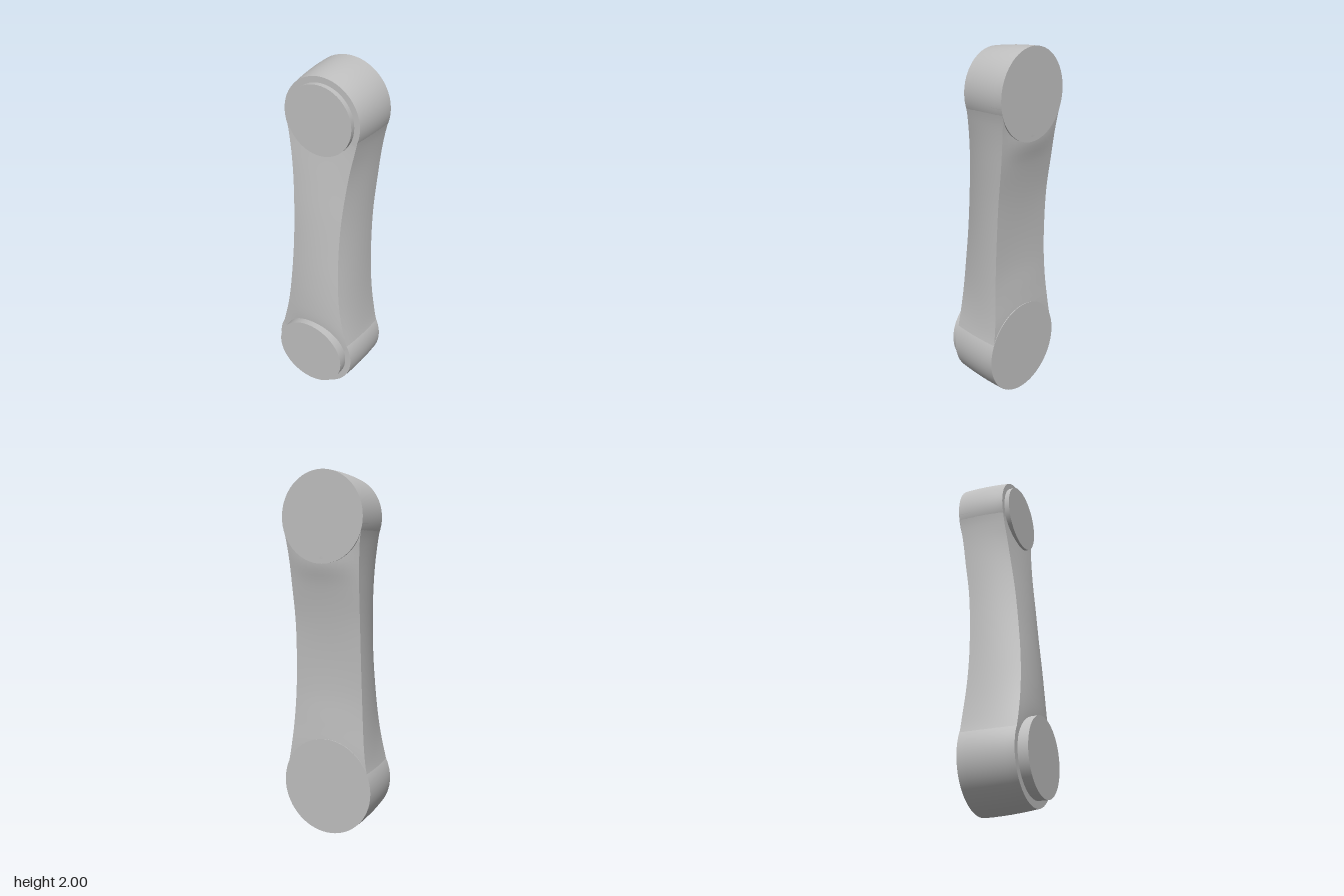
import * as THREE from 'three';
import { toCreasedNormals } from 'three/addons/utils/BufferGeometryUtils.js';

// Arm sections: y, half-width at back, half-width at front,
// z of front middle, front edge, back middle, back edge
const SECTIONS = [
  [0.30, 0.270, 0.245, 0.146, 0.146, -0.156, -0.156],
  [0.40, 0.245, 0.219, 0.158, 0.150, -0.156, -0.155],
  [0.50, 0.230, 0.194, 0.169, 0.151, -0.156, -0.150],
  [0.62, 0.218, 0.172, 0.169, 0.150, -0.148, -0.141],
  [0.80, 0.207, 0.154, 0.160, 0.143, -0.136, -0.134],
  [1.00, 0.201, 0.146, 0.144, 0.128, -0.137, -0.137],
  [1.20, 0.200, 0.149, 0.124, 0.111, -0.151, -0.148],
  [1.40, 0.206, 0.164, 0.099, 0.089, -0.180, -0.172],
  [1.52, 0.212, 0.179, 0.083, 0.077, -0.206, -0.185],
  [1.60, 0.219, 0.193, 0.073, 0.069, -0.206, -0.195],
  [1.66, 0.227, 0.204, 0.066, 0.065, -0.206, -0.203],
  [1.72, 0.240, 0.217, 0.064, 0.064, -0.206, -0.206],
];

export function createModel() {
  const group = new THREE.Group();
  const grey = new THREE.MeshStandardMaterial({ color: 0xc0c0c0 });
  grey.name = 'light grey';

  const add = (name, geometry, y = 0) => {
    const mesh = new THREE.Mesh(geometry, grey);
    mesh.name = name;
    mesh.position.y = y;
    group.add(mesh);
  };

  // Round joint: slightly tapering body, turned so its axis is z
  function joint(name, y, back, front, rBack, rFront) {
    const points = [new THREE.Vector2(0, back)];
    for (let i = 0; i <= 6; i++) {
      const t = i / 6;
      points.push(new THREE.Vector2(rBack - (rBack - rFront) * t * t, back + (front - back) * t));
    }
    points.push(new THREE.Vector2(0, front));
    const body = new THREE.LatheGeometry(points, 64).rotateX(Math.PI / 2);
    add(name, toCreasedNormals(body, 0.6), y);
  }

  // Raised round pad on the front of a joint
  function pad(name, y, back, front, radius) {
    const disc = new THREE.CylinderGeometry(radius, radius, front - back, 64).rotateX(Math.PI / 2);
    disc.translate(0, 0, (front + back) / 2);
    add(name, disc, y);
  }

  joint('lowerJoint', 0.274, -0.157, 0.149, 0.272, 0.25);
  pad('lowerPad', 0.277, 0.13, 0.205, 0.214);
  joint('upperJoint', 1.757, -0.207, 0.065, 0.243, 0.222);
  pad('upperPad', 1.757, 0.05, 0.093, 0.19);

  // Arm between the joints, lofted one face at a time to keep sharp edges
  const spline = new THREE.CubicInterpolant(
    SECTIONS.map((s) => s[0]), SECTIONS.flatMap((s) => s.slice(1)), 6);
  const rows = 48, cols = 10, yLow = 0.30, yHigh = 1.72;

  function loft(name, pointAt) {
    const position = [], index = [];
    for (let i = 0; i <= rows; i++) {
      const y = yLow + (yHigh - yLow) * i / rows;
      const section = Array.from(spline.evaluate(y));
      for (let j = 0; j <= cols; j++) {
        const [x, z] = pointAt(j / cols, section);
        position.push(x, y, z);
        if (i < rows && j < cols) {
          const a = i * (cols + 1) + j, c = a + cols + 1;
          index.push(a, a + 1, c, a + 1, c + 1, c);
        }
      }
    }
    const geometry = new THREE.BufferGeometry();
    geometry.setAttribute('position', new THREE.Float32BufferAttribute(position, 3));
    geometry.setIndex(index);
    geometry.computeVertexNormals();
    add(name, geometry);
  }

  loft('armFront', (u, [, wf, mid, edge]) => {
    const s = 2 * u - 1;
    return [wf * s, mid + (edge - mid) * s * s];
  });
  loft('armBack', (u, [wb, , , , mid, edge]) => {
    const s = 1 - 2 * u;
    return [wb * s, mid + (edge - mid) * s * s];
  });
  // Side walls bow inward towards the front
  const wall = (t, [wb, wf, , front, , back]) =>
    [wb - (wb - wf) * t * t, back + (front - back) * t];
  loft('armLeftSide', (u, s) => wall(1 - u, s));
  loft('armRightSide', (u, s) => {
    const [x, z] = wall(u, s);
    return [-x, z];
  });

  return group;
}
